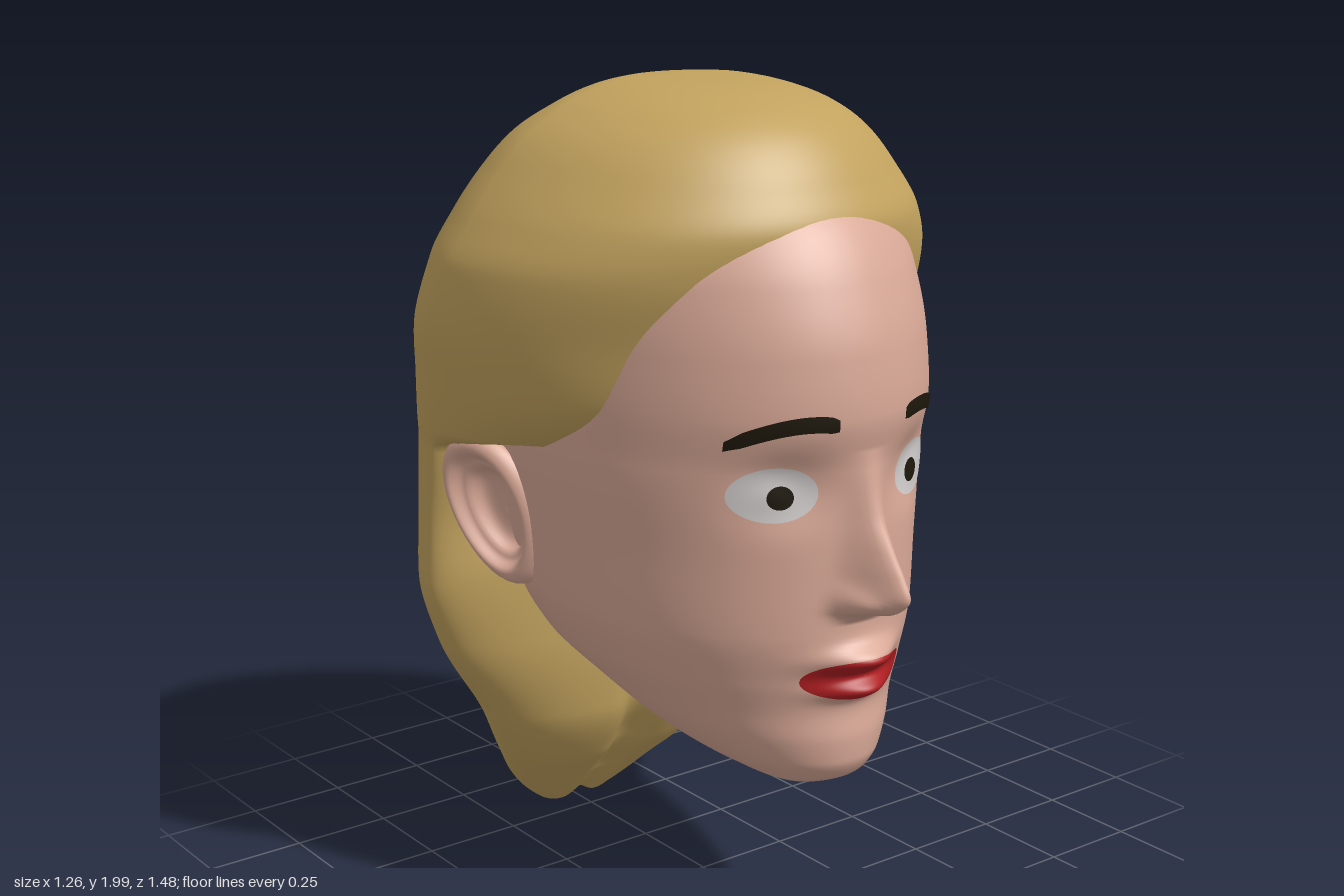
import * as THREE from 'three';
import { ParametricGeometry } from 'three/addons/geometries/ParametricGeometry.js';

// Smooth monotone interpolation through table rows; column 0 is the height y.
function table(rows) {
  const slope = (i, k) => (rows[i + 1][k] - rows[i][k]) / (rows[i + 1][0] - rows[i][0]);
  const tangent = (i, k) => {
    if (i === 0) return slope(0, k);
    if (i === rows.length - 1) return slope(i - 1, k);
    const a = slope(i - 1, k), b = slope(i, k);
    return a * b <= 0 ? 0 : (2 * a * b) / (a + b);
  };
  return (y) => {
    let i = 0;
    while (i < rows.length - 2 && y > rows[i + 1][0]) i++;
    const h = rows[i + 1][0] - rows[i][0];
    const t = Math.min(1, Math.max(0, (y - rows[i][0]) / h));
    const t2 = t * t, t3 = t2 * t;
    return rows[i].slice(1).map((p, j) => {
      const k = j + 1;
      return (2 * t3 - 3 * t2 + 1) * p + (t3 - 2 * t2 + t) * h * tangent(i, k)
        + (3 * t2 - 2 * t3) * rows[i + 1][k] + (t3 - t2) * h * tangent(i + 1, k);
    });
  };
}

// Cross-sections: y, half width, z of widest point, front z, back z
const skinAt = table([
  [0.425, 0.001, 0.45, 0.451, 0.449], [0.432, 0.1, 0.43, 0.505, 0.36],
  [0.46, 0.165, 0.33, 0.55, 0.18], [0.5, 0.22, 0.24, 0.57, 0.04],
  [0.55, 0.27, 0.16, 0.573, -0.08], [0.62, 0.325, 0.08, 0.565, -0.24],
  [0.7, 0.38, 0, 0.575, -0.4], [0.82, 0.43, -0.06, 0.59, -0.45],
  [1, 0.46, -0.1, 0.588, -0.5], [1.2, 0.48, -0.1, 0.597, -0.5],
  [1.32, 0.48, -0.1, 0.617, -0.5], [1.45, 0.475, -0.1, 0.605, -0.5],
  [1.6, 0.46, -0.1, 0.558, -0.45], [1.7, 0.42, -0.1, 0.503, -0.4],
  [1.78, 0.35, -0.1, 0.42, -0.35], [1.87, 0.1, -0.05, 0.15, -0.2],
]);
const hairAt = table([
  [0, 0.001, -0.595, -0.594, -0.596], [0.006, 0.07, -0.59, -0.56, -0.625],
  [0.03, 0.115, -0.58, -0.53, -0.65], [0.13, 0.22, -0.53, -0.42, -0.667],
  [0.25, 0.305, -0.45, -0.29, -0.678], [0.4, 0.39, -0.385, -0.22, -0.69],
  [0.62, 0.525, -0.35, -0.205, -0.715], [0.8, 0.575, -0.34, -0.205, -0.735],
  [0.95, 0.57, -0.335, -0.225, -0.74], [1.15, 0.583, -0.29, -0.23, -0.727],
  [1.2, 0.595, -0.27, 0.21, -0.722], [1.32, 0.615, -0.23, 0.38, -0.712],
  [1.45, 0.63, -0.2, 0.41, -0.69], [1.6, 0.61, -0.15, 0.463, -0.64],
  [1.7, 0.56, -0.13, 0.482, -0.59], [1.8, 0.49, -0.12, 0.44, -0.52],
  [1.88, 0.42, -0.11, 0.385, -0.43], [1.94, 0.33, -0.1, 0.31, -0.32],
  [1.975, 0.24, -0.1, 0.21, -0.25], [1.992, 0.15, -0.1, 0.1, -0.19],
  [2, 0.001, -0.09, -0.089, -0.091],
]);
// Nose: y, height, width
const noseAt = table([
  [0.845, 0, 0.05], [0.868, 0.035, 0.055], [0.885, 0.105, 0.055], [0.93, 0.15, 0.05],
  [0.97, 0.13, 0.048], [1.02, 0.095, 0.046], [1.1, 0.045, 0.043], [1.25, 0, 0.04],
]);

const bell = (d, s) => Math.exp(-((d / s) ** 2));

// Relief of the face: nose, nostril wings, eye sockets, eyeballs and lips
function relief(x, y) {
  const ax = Math.abs(x);
  const [height, width] = noseAt(y);
  return height * bell(x, width)
    + 0.035 * bell(ax - 0.058, 0.026) * bell(y - 0.905, 0.03)
    - 0.04 * bell(ax - 0.18, 0.09) * bell(y - 1.16, 0.075)
    + 0.018 * bell(ax - 0.2, 0.06) * bell(y - 1.15, 0.045)
    + 0.055 * bell(x, 0.095) * bell(y - 0.757, 0.03)
    + 0.045 * bell(x, 0.085) * bell(y - 0.682, 0.026);
}

function faceZ(x, y) {
  const [w, zc, zf] = skinAt(y);
  return zc + (zf - zc) * Math.sqrt(Math.max(0, 1 - (x / w) ** 2)) + relief(x, y);
}

export function createModel() {
  const group = new THREE.Group();
  const material = (name, color) => Object.assign(new THREE.MeshStandardMaterial({ color }), { name });
  const skin = material('skin', 0xd8a896);
  const blonde = material('blonde hair', 0xc2a25e);
  const white = material('eye white', 0xd0cccb);
  const dark = material('dark brown', 0x1e180c);
  const red = material('lip red', 0xb01e22);

  const add = (name, mat, f, slices, stacks) => {
    const mesh = new THREE.Mesh(new ParametricGeometry(f, slices, stacks), mat);
    mesh.name = name;
    group.add(mesh);
  };
  // Thin layer lying on the face, f gives [x, y]
  const patch = (name, mat, lift, f, slices, stacks) => add(name, mat, (u, v, p) => {
    const [x, y] = f(u, v);
    p.set(x, y, faceZ(x, y) + lift);
  }, slices, stacks);
  const oval = (name, mat, lift, cx, cy, rx, ry) => patch(name, mat, lift, (u, v) => {
    const a = -u * Math.PI * 2, r = 0.01 + 0.99 * v;
    return [cx + rx * r * Math.cos(a), cy + ry * r * Math.sin(a)];
  }, 48, 18);

  // Head, with sections packed closer towards the face
  add('head', skin, (u, v, p) => {
    const y = 0.425 + 1.445 * v ** 1.3, t = 2 * u - 1;
    const a = Math.PI * t * (0.45 + 0.55 * t * t);
    const [w, zc, zf, zb] = skinAt(y);
    const x = w * Math.sin(a), c = Math.cos(a);
    const z = c > 0 ? zc + (zf - zc) * c + relief(x, y) * Math.min(1, c * 4) : zc + (zc - zb) * c;
    p.set(x, y, z);
  }, 120, 160);

  // Long hair: crown, sides and the tapering fall behind the neck
  add('hair', blonde, (u, v, p) => {
    const y = 1 - Math.cos(Math.PI * v), a = Math.PI * (2 * u - 1);
    const [w, zc, zf, zb] = hairAt(y);
    const s = Math.sin(a), c = Math.cos(a);
    let x = w * s, z = zc + (zf - zc) * c;
    if (c < 0) {
      // back narrows to a soft ridge, with combed strands
      const strands = 1 + 0.014 * Math.sin(Math.PI * y / 2) * c * c * Math.cos(10 * a);
      x = w * Math.sign(s) * Math.abs(s) ** 1.17 * strands;
      z = zc - (zc - zb) * (-c) ** 1.17;
    } else {
      // centre parting of the two locks below the chin
      const low = Math.sqrt(Math.max(0, 1 - y / 0.75)) * THREE.MathUtils.smoothstep(y, 0, 0.3);
      z -= 0.1 * low * c * bell(x, 0.06);
    }
    p.set(x, y + 0.03 * bell(x, 0.035) * Math.max(0, 1 - y / 0.12), z);
  }, 112, 140);

  oval('lips', red, 0.006, 0, 0.714, 0.145, 0.053);

  // Ear profile from the hollow over the rim to the back: radius, height
  const profile = new THREE.SplineCurve([
    [0.02, -0.035], [0.42, -0.032], [0.58, -0.005], [0.68, 0.003], [0.8, 0.024],
    [0.94, 0.016], [1, -0.01], [0.92, -0.035], [0.7, -0.1],
  ].map(([r, h]) => new THREE.Vector2(r, h)));

  for (const side of [1, -1]) {
    const label = side > 0 ? 'left' : 'right';

    oval(`${label}EyeWhite`, white, 0.005, side * 0.2, 1.153, 0.088, 0.063);
    oval(`${label}Iris`, dark, 0.009, side * 0.19, 1.147, 0.028, 0.027);

    patch(`${label}Eyebrow`, dark, 0.007, (u, v) => {
      const t = side > 0 ? u : 1 - u;
      const thick = 0.037 * Math.min(1, 0.7 + 4 * t, 0.6 + 3 * (1 - t));
      return [side * (0.095 + 0.205 * t), 1.312 + 0.05 * t - 0.094 * t * t + (v - 0.5) * thick];
    }, 24, 4);

    add(`${label}Ear`, skin, (u, v, p) => {
      const a = side * u * Math.PI * 2, q = profile.getPoint(v);
      const up = q.x * Math.sin(a), fore = q.x * Math.cos(a);
      const x = 0.492 - 0.05 * fore + 0.036 * up + q.y;
      p.set(side * x, 1.01 + 0.182 * up, -0.16 + 0.105 * fore * (1 + 0.22 * up) - 0.035 * up);
    }, 40, 32);
  }
  return group;
}
